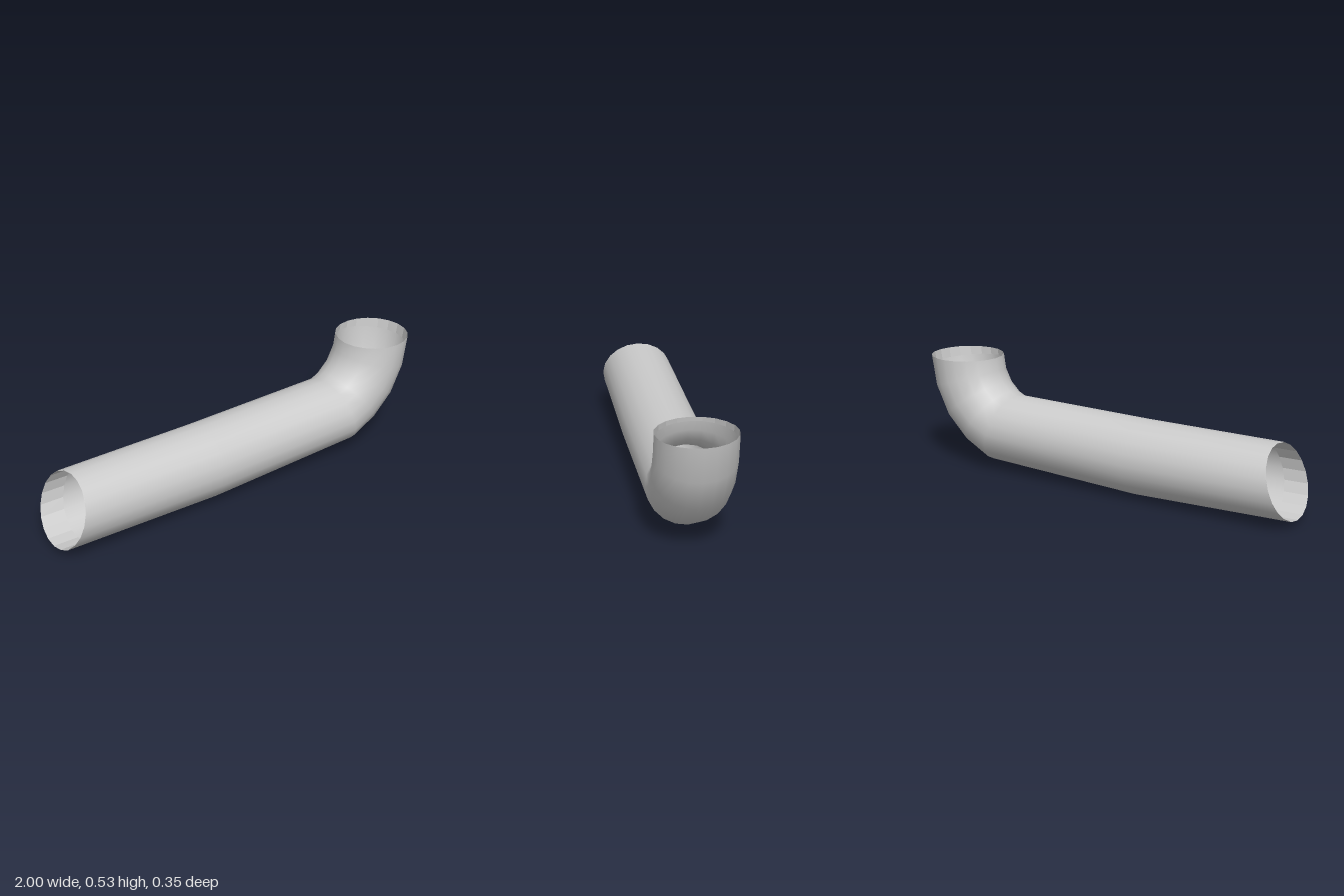
import * as THREE from 'three';

const SIDES = 20;
const HALF_WIDTH = 0.177;

// Each ring of the pipe: lower/outer point (x, y), then upper/inner point (x, y)
const RINGS = [
  [-1, 0.03, -0.89, 0.36],
  [-0.2, 0.003, -0.2, 0.355],
  [0.632, 0.03, 0.525, 0.359],
  [0.778, 0.106, 0.565, 0.376],
  [0.896, 0.22, 0.607, 0.415],
  [0.972, 0.37, 0.635, 0.468],
  [1, 0.53, 0.645, 0.53],
];

// Skin a row of rings into an open tube
function skin(rings, scale = 1) {
  const positions = [];
  const index = [];
  rings.forEach(([x0, y0, x1, y1], r) => {
    for (let i = 0; i < SIDES; i++) {
      const a = (i / SIDES) * Math.PI * 2;
      const c = (-Math.cos(a) * scale) / 2;
      positions.push(
        (x0 + x1) / 2 + c * (x1 - x0),
        (y0 + y1) / 2 + c * (y1 - y0),
        Math.sin(a) * HALF_WIDTH * scale
      );
      if (r === rings.length - 1) continue;
      const p = r * SIDES + i;
      const q = r * SIDES + ((i + 1) % SIDES);
      index.push(p, p + SIDES, q, q, p + SIDES, q + SIDES);
    }
  });
  const geometry = new THREE.BufferGeometry();
  geometry.setAttribute('position', new THREE.Float32BufferAttribute(positions, 3));
  geometry.setIndex(index);
  geometry.computeVertexNormals();
  return geometry;
}

function addPart(group, name, geometry, flatShading) {
  const material = new THREE.MeshStandardMaterial({
    color: 0xcccccc, side: THREE.DoubleSide, flatShading,
  });
  const mesh = new THREE.Mesh(geometry, material);
  mesh.name = name;
  group.add(mesh);
}

// Ring part of the way from one ring to another
const between = (a, b, t) => a.map((v, i) => v + (b[i] - v) * t);

export function createModel() {
  const group = new THREE.Group();
  group.name = 'elbowPipe';

  // Long, slightly sagging pipe with an upturned elbow
  addPart(group, 'pipeWall', skin(RINGS), false);

  // Faceted inner lips at both open ends
  const n = RINGS.length;
  const slantedLip = [RINGS[0], between(RINGS[0], RINGS[1], 0.15)];
  const upperLip = [between(RINGS[n - 1], RINGS[n - 2], 0.3), RINGS[n - 1]];
  addPart(group, 'slantedEndLip', skin(slantedLip, 0.985), true);
  addPart(group, 'upperEndLip', skin(upperLip, 0.985), true);

  return group;
}
